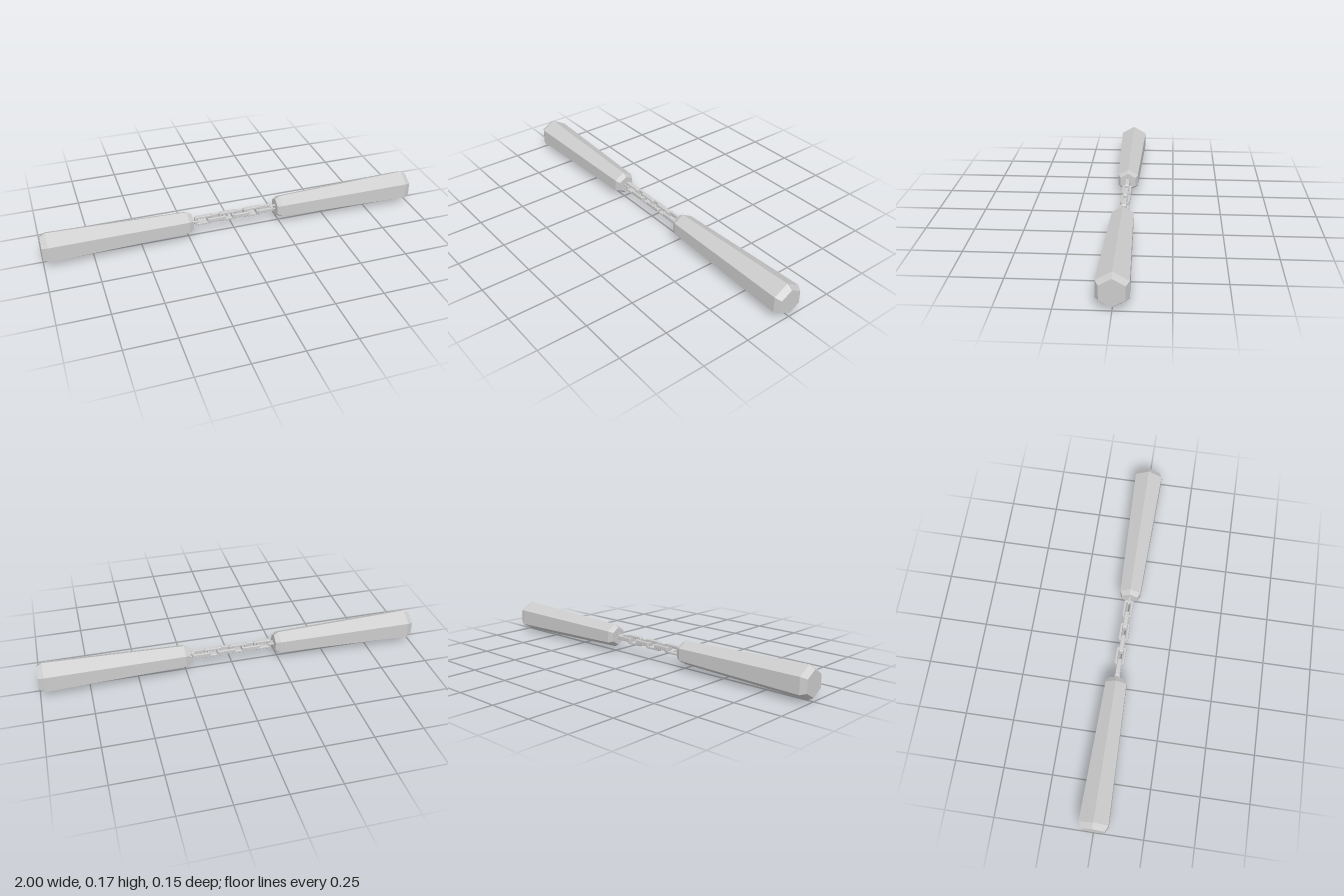
import * as THREE from 'three';

const AXIS_Y = 0.084;
const metal = new THREE.MeshStandardMaterial({ color: 0xcccccc, flatShading: true });

// Rectangle with cut corners, centred on the origin
function cutRect(target, w, h, c) {
  const x = w / 2, y = h / 2;
  target.setFromPoints([
    [x - c, -y], [x, -y + c], [x, y - c], [x - c, y],
    [-x + c, y], [-x, y - c], [-x, -y + c], [-x + c, -y],
  ].map(([a, b]) => new THREE.Vector2(a, b)));
  target.closePath();
  return target;
}

// Flat oblong ring lying in the xy plane
function ringGeometry(length, height, wall, depth) {
  const bevel = 0.002;
  const shape = cutRect(new THREE.Shape(), length - 2 * bevel, height - 2 * bevel, 0.005);
  shape.holes.push(cutRect(new THREE.Path(), length - 2 * wall + 2 * bevel, height - 2 * wall + 2 * bevel, 0.002));
  const geo = new THREE.ExtrudeGeometry(shape, {
    depth: depth - 2 * bevel, bevelEnabled: true, bevelSize: bevel, bevelThickness: bevel, bevelSegments: 1,
  });
  return geo.translate(0, 0, bevel - depth / 2);
}

export function createModel() {
  const group = new THREE.Group();
  const add = (name, geo, x, turn = 0) => {
    const mesh = new THREE.Mesh(geo, metal);
    mesh.name = name;
    mesh.position.set(x, AXIS_Y, 0);
    mesh.rotation.x = turn;
    group.add(mesh);
    return mesh;
  };

  // Tapered hexagonal handles with chamfered ends
  const profile = [[0, 0.23], [0.047, 0.23], [0.062, 0.255], [0.084, 0.97], [0.066, 1], [0, 1]]
    .map(([r, d]) => new THREE.Vector2(r, d));
  const handle = new THREE.LatheGeometry(profile, 6, Math.PI / 2);
  handle.rotateZ(-Math.PI / 2);
  add('leftHandle', handle, 0);
  add('rightHandle', handle, 0).rotation.y = Math.PI;

  // Chain of six links, alternately upright and lying flat
  const link = ringGeometry(0.096, 0.05, 0.012, 0.022);
  for (let i = 0; i < 6; i++) {
    add('chainLink' + (i + 1), link, -0.1665 + i * 0.0666, i % 2 ? Math.PI / 2 : 0);
  }

  // Eyes that hold the chain, sunk into the handle ends
  const eye = ringGeometry(0.05, 0.028, 0.007, 0.012);
  add('rightEye', eye, -0.22, Math.PI / 2);
  add('leftEye', eye, 0.22);

  return group;
}
